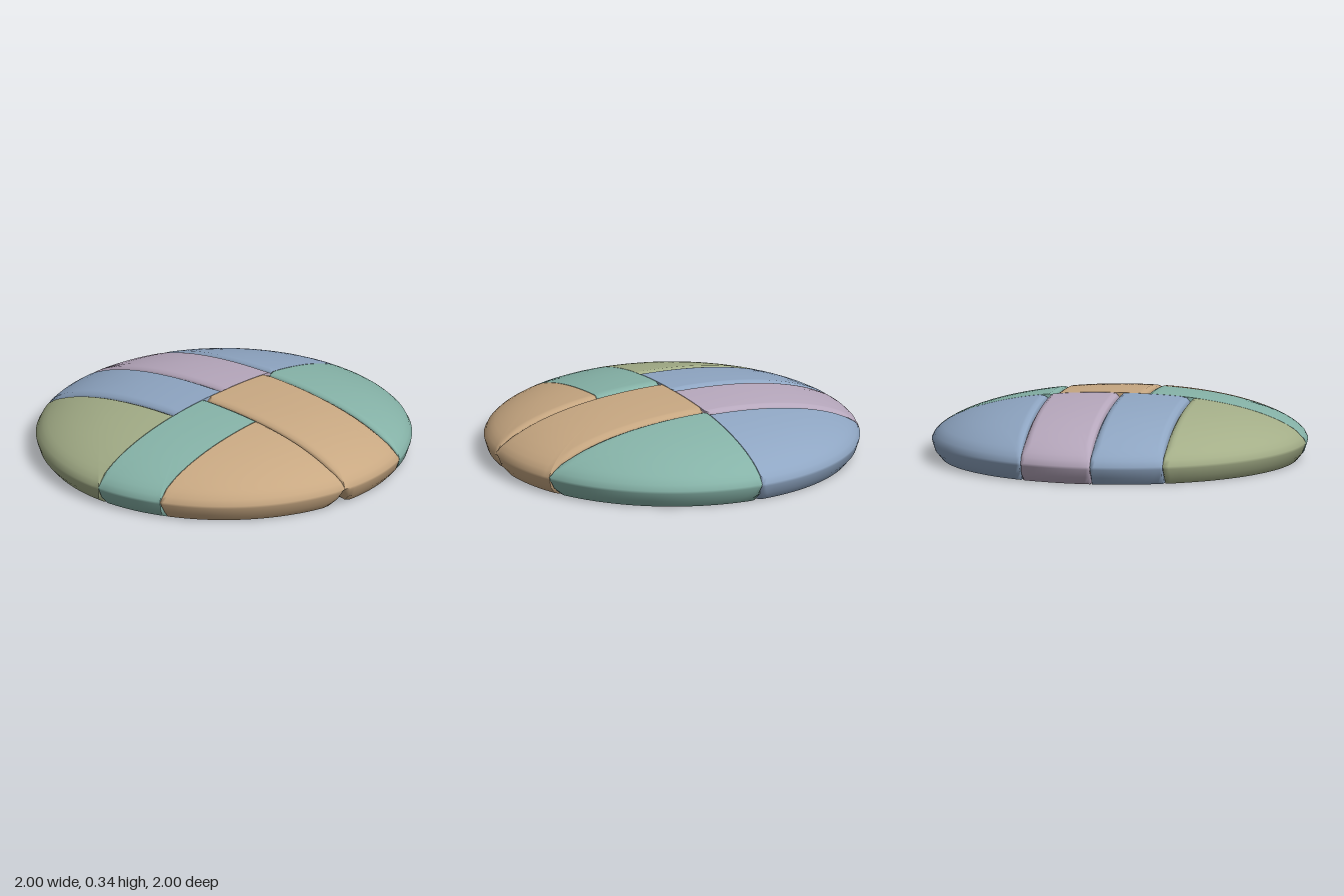
import * as THREE from 'three';
import { mergeVertices } from 'three/addons/utils/BufferGeometryUtils.js';

const OPEN = 2; // a side bounded by the round rim instead of a seam
const NOTCH = 0.14; // z of the seam that opens underneath, near the left rim

// Cushion cross-section, from the bottom middle, around the side, to the top middle.
// s: scale to the piece's middle, d: inset from seams, R: rim radius,
// y: lowest height on the underside and side (rows without y follow the dome)
const ROWS = [
  ...[0, 0.15, 0.3, 0.45, 0.6, 0.75, 0.88, 1].map((s) => ({ s, d: 0.05, R: 0.9, y: 0 })),
  { s: 1, d: 0.02, R: 0.93, y: 0 },
  { s: 1, d: 0, R: 0.948, y: 0 },
  { s: 1, d: 0, R: 0.982, y: 0.04 },
  { s: 1, d: 0, R: 0.997, y: 0.085 },
  { s: 1, d: 0, R: 1 },
  { s: 1, d: 0.012, R: 0.985 },
  { s: 1, d: 0.03, R: 0.96 },
  ...[0.92, 0.8, 0.65, 0.5, 0.35, 0.2, 0.1, 0].map((s) => ({ s, d: 0.03, R: 0.96 })),
];

// Domed top, rounded down towards the crosswise seams
function topHeight([, , z0, z1], x, z) {
  const r = Math.hypot(x, z);
  const dome = 0.1 + 0.242 * Math.pow(Math.max(0, 1 - Math.pow(r, 2.3)), 0.62);
  const near = Math.max(0, 1 - Math.min(z - z0, z1 - z) / 0.03);
  return dome - 0.025 * near * near * THREE.MathUtils.clamp((1 - r) * 8, 0, 1);
}

// Underside: a shallow hollow in the middle, and the notch at the left rim
function bottomHeight(x, z) {
  const r = Math.hypot(x, z);
  const hollow = 0.12 * Math.max(0, 1 - (r / 0.76) ** 2);
  const groove = 0.1 * Math.max(0, 1 - Math.abs(z - NOTCH) / 0.065);
  return Math.max(hollow, groove * THREE.MathUtils.smoothstep(x, 0.5, 0.75));
}

// Distance from the middle (cx, cz) along angle a to the seams or the rim
function reach([x0, x1, z0, z1], cx, cz, a, { d, R }) {
  const ux = Math.cos(a), uz = Math.sin(a);
  const dx = d * 0.3; // lengthwise seams stay nearly square
  const b = cx * ux + cz * uz;
  let t = -b + Math.sqrt(b * b - (cx * cx + cz * cz - R * R));
  if (ux > 1e-6) t = Math.min(t, (x1 - dx - cx) / ux);
  if (ux < -1e-6) t = Math.min(t, (x0 + dx - cx) / ux);
  if (uz > 1e-6) t = Math.min(t, (z1 - d - cz) / uz);
  if (uz < -1e-6) t = Math.min(t, (z0 + d - cz) / uz);
  return t;
}

// Even directions plus the exact directions of the outline's corners
function directions([x0, x1, z0, z1], cx, cz) {
  const list = [];
  for (let i = 0; i < 96; i++) list.push(-Math.PI + (i / 96) * Math.PI * 2);
  const add = (x, z) => {
    const inside = x >= x0 && x <= x1 && z >= z0 && z <= z1 && x * x + z * z < 1.0001;
    if (inside) list.push(Math.atan2(z - cz, x - cx));
  };
  for (const x of [x0, x1]) for (const z of [z0, z1]) add(x, z);
  for (const e of [x0, x1, z0, z1]) {
    if (Math.abs(e) > 1) continue;
    const h = Math.sqrt(1 - e * e);
    for (const k of [h, -h]) {
      if (e === x0 || e === x1) add(e, k);
      if (e === z0 || e === z1) add(k, e);
    }
  }
  list.sort((p, q) => p - q);
  return list.filter((a, i) => i === 0 || a - list[i - 1] > 1e-4);
}

function cushionGeometry(bounds, [cx, cz]) {
  const angles = directions(bounds, cx, cz);
  const n = angles.length;
  const pos = [], index = [];
  for (const row of ROWS) {
    for (const a of angles) {
      const t = row.s * reach(bounds, cx, cz, a, row);
      const x = cx + Math.cos(a) * t, z = cz + Math.sin(a) * t;
      const y = row.y === undefined ? topHeight(bounds, x, z) : Math.max(row.y, bottomHeight(x, z));
      pos.push(x, y, z);
    }
  }
  // The first and last rows are single points, so they get one triangle per step
  const last = ROWS.length - 2;
  for (let i = 0; i <= last; i++) {
    for (let j = 0; j < n; j++) {
      const a = i * n + j, b = i * n + ((j + 1) % n), c = a + n, d = b + n;
      if (i > 0) index.push(a, c, b);
      if (i < last) index.push(b, c, d);
    }
  }
  const geo = new THREE.BufferGeometry();
  geo.setAttribute('position', new THREE.Float32BufferAttribute(pos, 3));
  geo.setIndex(index);
  const merged = mergeVertices(geo, 1e-5);
  merged.computeVertexNormals();
  return merged;
}

export function createModel() {
  const material = (name, color) => {
    const m = new THREE.MeshStandardMaterial({ color });
    m.name = name;
    return m;
  };
  const blue = material('dusty blue', 0x8fa6c3);
  const lilac = material('lilac', 0xb7a8bd);
  const teal = material('soft teal', 0x86b3a8);
  const tan = material('tan', 0xc8a882);
  const olive = material('olive', 0xa4ae88);

  // name, colour, [x0, x1, z0, z1], middle
  const pieces = [
    ['backRightCushion', blue, [-OPEN, 0, -OPEN, -0.385], [-0.4, -0.62]],
    ['middleRightBackCushion', lilac, [-OPEN, 0, -0.385, 0], [-0.5, -0.19]],
    ['middleRightFrontCushion', blue, [-OPEN, 0, 0, 0.38], [-0.5, 0.19]],
    ['frontRightCushion', olive, [-OPEN, 0, 0.38, OPEN], [-0.35, 0.6]],
    ['backLeftCushion', teal, [0, OPEN, -OPEN, -0.35], [0.4, -0.62]],
    ['middleLeftCushion', tan, [0, OPEN, -0.35, NOTCH], [0.5, -0.1]],
    ['frontCenterCushion', teal, [0, 0.375, NOTCH, OPEN], [0.19, 0.55]],
    ['frontLeftCushion', tan, [0.375, OPEN, NOTCH, OPEN], [0.6, 0.42]],
  ];

  const group = new THREE.Group();
  group.name = 'roundCushionSet';
  for (const [name, mat, bounds, middle] of pieces) {
    const mesh = new THREE.Mesh(cushionGeometry(bounds, middle), mat);
    mesh.name = name;
    group.add(mesh);
  }
  return group;
}
